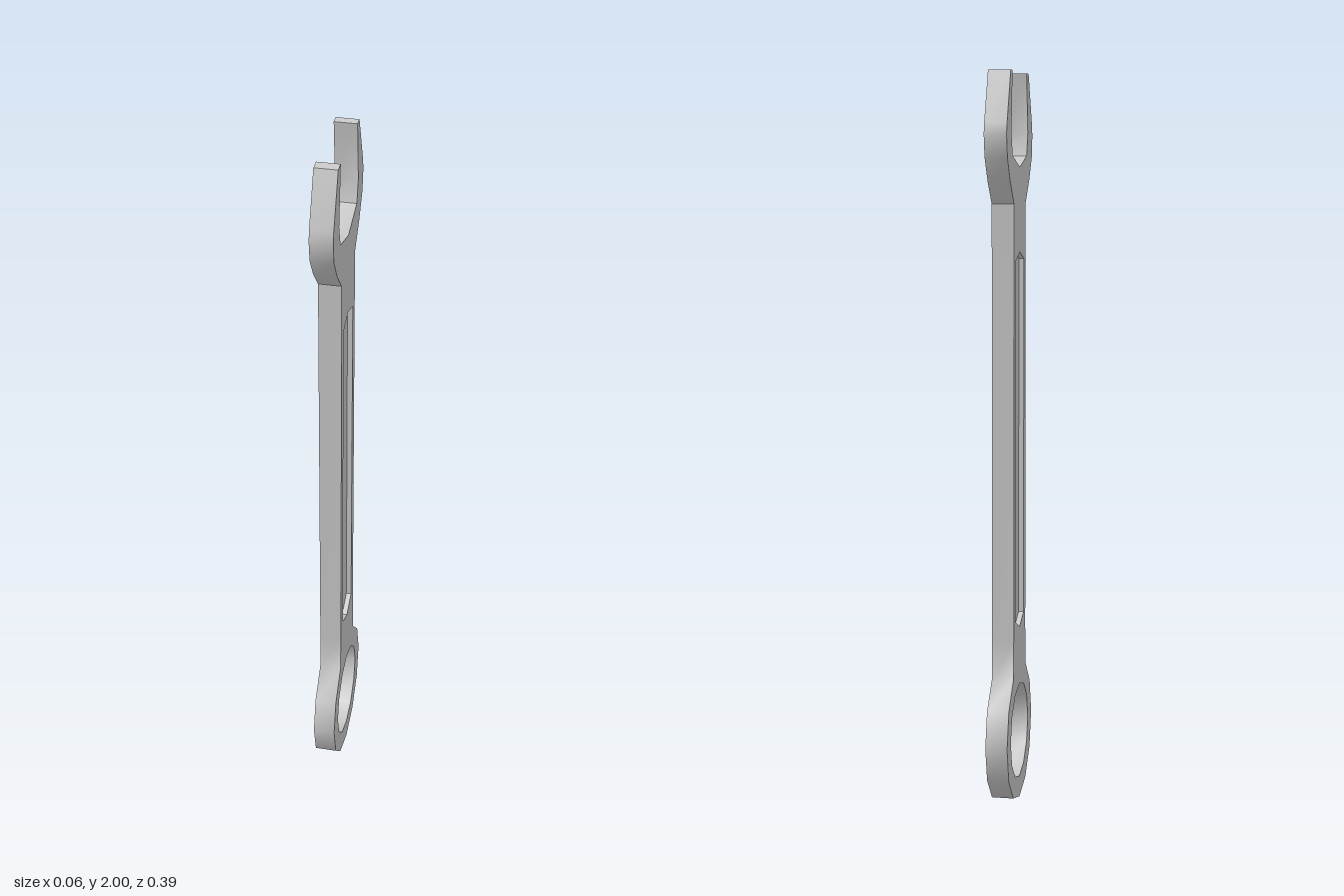
import * as THREE from 'three';
import { toCreasedNormals } from 'three/addons/utils/BufferGeometryUtils.js';

const RING_Y = 0.194;
const THICKNESS = 0.06;
const RECESS_DEPTH = 0.014;

const pts = (list) => list.map(([x, y]) => new THREE.Vector2(x, y));

// Regular 12-sided ring of points around the ring end, from step a to step b
function ringPoints(rx, ry, a, b) {
  const out = [];
  for (let i = a; i <= b; i++) {
    const t = (i * Math.PI) / 6 - Math.PI / 2;
    out.push([rx * Math.cos(t), RING_Y + ry * Math.sin(t)]);
  }
  return out;
}

// Extrudes a side profile to a given thickness, centred across x
function plate(shape, thickness, name, material) {
  let g = new THREE.ExtrudeGeometry(shape, { depth: thickness, bevelEnabled: false });
  g.translate(0, 0, -thickness / 2);
  g.rotateY(Math.PI / 2);
  g = toCreasedNormals(g, 0.75);
  const mesh = new THREE.Mesh(g, material);
  mesh.name = name;
  return mesh;
}

export function createModel() {
  const group = new THREE.Group();
  group.name = 'wrench';
  const material = new THREE.MeshStandardMaterial({ color: 0xcccccc });

  // Outline: ring end, shaft, then the open jaw
  const outline = new THREE.Shape(pts([
    ...ringPoints(0.19, RING_Y, -5, 5),
    [0.09, 0.47], [0.088, 1.654], [0.143, 1.713], [0.184, 1.776], [0.195, 1.835], [0.188, 1.865],
    [0.136, 2], [0.111, 2], [0.126, 1.84], [0.108, 1.78],
    [0, 1.75],
    [-0.103, 1.78], [-0.12, 1.84], [-0.101, 2], [-0.132, 2],
    [-0.186, 1.865], [-0.193, 1.835], [-0.184, 1.776], [-0.143, 1.713], [-0.088, 1.654], [-0.09, 0.47],
  ]));

  // Twelve-sided hole in the ring end
  outline.holes.push(new THREE.Path(pts(ringPoints(0.133, 0.134, 0, 11))));

  // Long recess with pointed ends, cut through and closed by a thinner web
  const recess = pts([
    [0, 0.49], [0.062, 0.517], [0.062, 1.503], [0, 1.525], [-0.062, 1.503], [-0.062, 0.517],
  ]);
  outline.holes.push(new THREE.Path(recess));

  group.add(plate(outline, THICKNESS, 'wrenchBody', material));
  group.add(plate(new THREE.Shape(recess), THICKNESS - 2 * RECESS_DEPTH, 'recessedWeb', material));
  return group;
}
